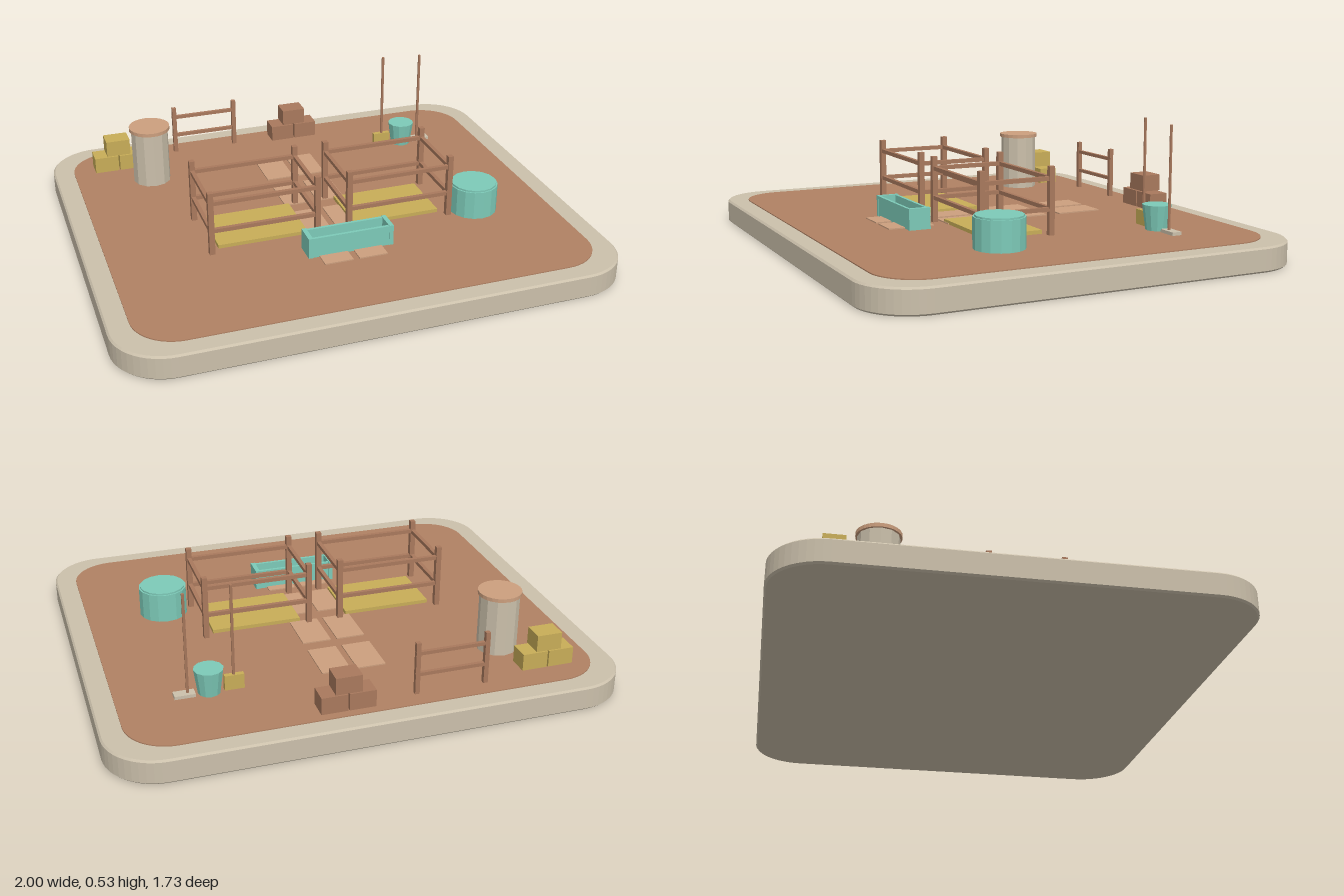
import * as THREE from 'three';

const mat = (name, color) => {
  const m = new THREE.MeshStandardMaterial({ color, flatShading: true });
  m.name = name;
  return m;
};

export function createModel() {
  const root = new THREE.Group();
  root.name = 'farmYard';
  const stone = mat('paleStone', 0xcbc0ab);
  const earth = mat('redEarth', 0xb08163);
  const wood = mat('brownWood', 0xa9795d);
  const tan = mat('lightTan', 0xcc9f7e);
  const straw = mat('straw', 0xc8ad58);
  const teal = mat('teal', 0x7dcab8);
  const G = 0.1; // ground level

  const add = (parent, name, geo, m, x = 0, y = 0, z = 0) => {
    const mesh = new THREE.Mesh(geo, m);
    mesh.name = name;
    mesh.position.set(x, y, z);
    parent.add(mesh);
    return mesh;
  };
  const group = (name) => {
    const g = new THREE.Group();
    g.name = name;
    root.add(g);
    return g;
  };
  // box given by its extents
  const box = (p, name, m, x0, x1, y0, y1, z0, z1) =>
    add(p, name, new THREE.BoxGeometry(x1 - x0, y1 - y0, z1 - z0), m,
      (x0 + x1) / 2, (y0 + y1) / 2, (z0 + z1) / 2);
  // upright cylinder from y0 to y1
  const cyl = (p, name, m, x, z, y0, y1, rTop, rBottom = rTop, sides = 12) =>
    add(p, name, new THREE.CylinderGeometry(rTop, rBottom, y1 - y0, sides), m, x, (y0 + y1) / 2, z);

  // rounded slab lying flat
  const slab = (name, m, w, d, r, y0, y1, bevel) => {
    const a = w - bevel, b = d - bevel, s = new THREE.Shape();
    s.absarc(a - r, b - r, r, 0, Math.PI / 2);
    s.absarc(-a + r, b - r, r, Math.PI / 2, Math.PI);
    s.absarc(-a + r, -b + r, r, Math.PI, Math.PI * 1.5);
    s.absarc(a - r, -b + r, r, Math.PI * 1.5, Math.PI * 2);
    s.closePath();
    const geo = new THREE.ExtrudeGeometry(s, {
      depth: y1 - y0 - 2 * bevel, curveSegments: 6,
      bevelEnabled: bevel > 0, bevelSize: bevel, bevelThickness: bevel, bevelSegments: 1,
    });
    geo.rotateX(-Math.PI / 2);
    add(root, name, geo, m, 0, y0 + bevel, 0);
  };
  slab('base', stone, 1, 0.863, 0.2, 0, 0.096, 0.007);
  slab('yardGround', earth, 0.915, 0.785, 0.17, 0.09, G, 0);

  // paving tiles, two columns of four
  const path = group('path');
  for (const z of [-0.38, -0.13, 0.125, 0.375])
    for (const x of [-0.073, 0.068])
      box(path, 'pavingTile', tan, x - 0.058, x + 0.058, G - 0.005, G + 0.005, z - 0.095, z + 0.095);

  // fenced pens with straw beds
  const pen = (name, x0, x1) => {
    const g = group(name), z0 = -0.048, z1 = 0.245, h = 0.011, r = 0.008;
    for (const x of [x0, x1])
      for (const z of [z0, z1])
        box(g, 'penPost', wood, x - h, x + h, G, 0.365, z - h, z + h);
    for (const y of [0.2, 0.318]) {
      for (const z of [z0, z1]) box(g, 'penRail', wood, x0, x1, y - r, y + r, z - r, z + r);
      for (const x of [x0, x1]) box(g, 'penRail', wood, x - r, x + r, y - r, y + r, z0, z1);
    }
    const c = (x0 + x1) / 2;
    box(g, 'strawBed', straw, c - 0.183, c + 0.183, G - 0.005, 0.115, -0.028, 0.217);
  };
  pen('rightPen', -0.517, -0.085);
  pen('leftPen', 0.048, 0.48);

  // short fence at the back
  const fence = group('backFence');
  for (const x of [-0.44, -0.165])
    box(fence, 'fencePost', wood, x - 0.009, x + 0.009, G, 0.312, -0.719, -0.701);
  for (const y of [0.18, 0.267])
    box(fence, 'fenceRail', wood, -0.45, -0.155, y - 0.007, y + 0.007, -0.717, -0.703);

  // stacks of three blocks
  const stack = (name, part, m, x, z) => {
    const g = group(name);
    for (const [dx, y] of [[-0.054, G], [0.054, G], [0, 0.172]])
      box(g, part, m, x + dx - 0.051, x + dx + 0.051, y, y + 0.068, z - 0.041, z + 0.041);
  };
  stack('baleStack', 'strawBale', straw, -0.718, -0.638);
  stack('crateStack', 'crate', wood, 0.113, -0.712);

  // storage drum with a lid
  const drum = group('storageDrum');
  cyl(drum, 'drumBody', stone, -0.6, -0.47, G, 0.338, 0.079);
  cyl(drum, 'drumLid', tan, -0.6, -0.47, 0.335, 0.35, 0.086, 0.086, 24);

  // water tank
  const tank = group('waterTank');
  cyl(tank, 'tankBody', teal, 0.6, 0.23, G, 0.218, 0.098, 0.098, 16);
  cyl(tank, 'tankLid', teal, 0.6, 0.23, 0.215, 0.225, 0.092, 0.092, 16);

  // open feeding trough
  const trough = group('trough');
  box(trough, 'troughFloor', teal, -0.165, 0.165, G, 0.125, 0.322, 0.4);
  for (const z of [0.318, 0.392])
    box(trough, 'troughSide', teal, -0.165, 0.165, G, 0.183, z, z + 0.012);
  for (const x of [-0.175, 0.157])
    box(trough, 'troughEnd', teal, x, x + 0.018, G, 0.185, 0.316, 0.406);

  // bucket, broom and shovel
  const tools = group('tools');
  cyl(tools, 'bucket', teal, 0.565, -0.47, G, 0.2, 0.057, 0.043);
  box(tools, 'broomHead', straw, 0.432, 0.508, G, 0.16, -0.482, -0.462);
  cyl(tools, 'broomHandle', wood, 0.471, -0.472, 0.15, 0.527, 0.006, 0.006, 6);
  box(tools, 'shovelBlade', stone, 0.62, 0.7, G, 0.113, -0.493, -0.453);
  cyl(tools, 'shovelHandle', wood, 0.647, -0.472, 0.11, 0.517, 0.006, 0.006, 6);

  return root;
}
